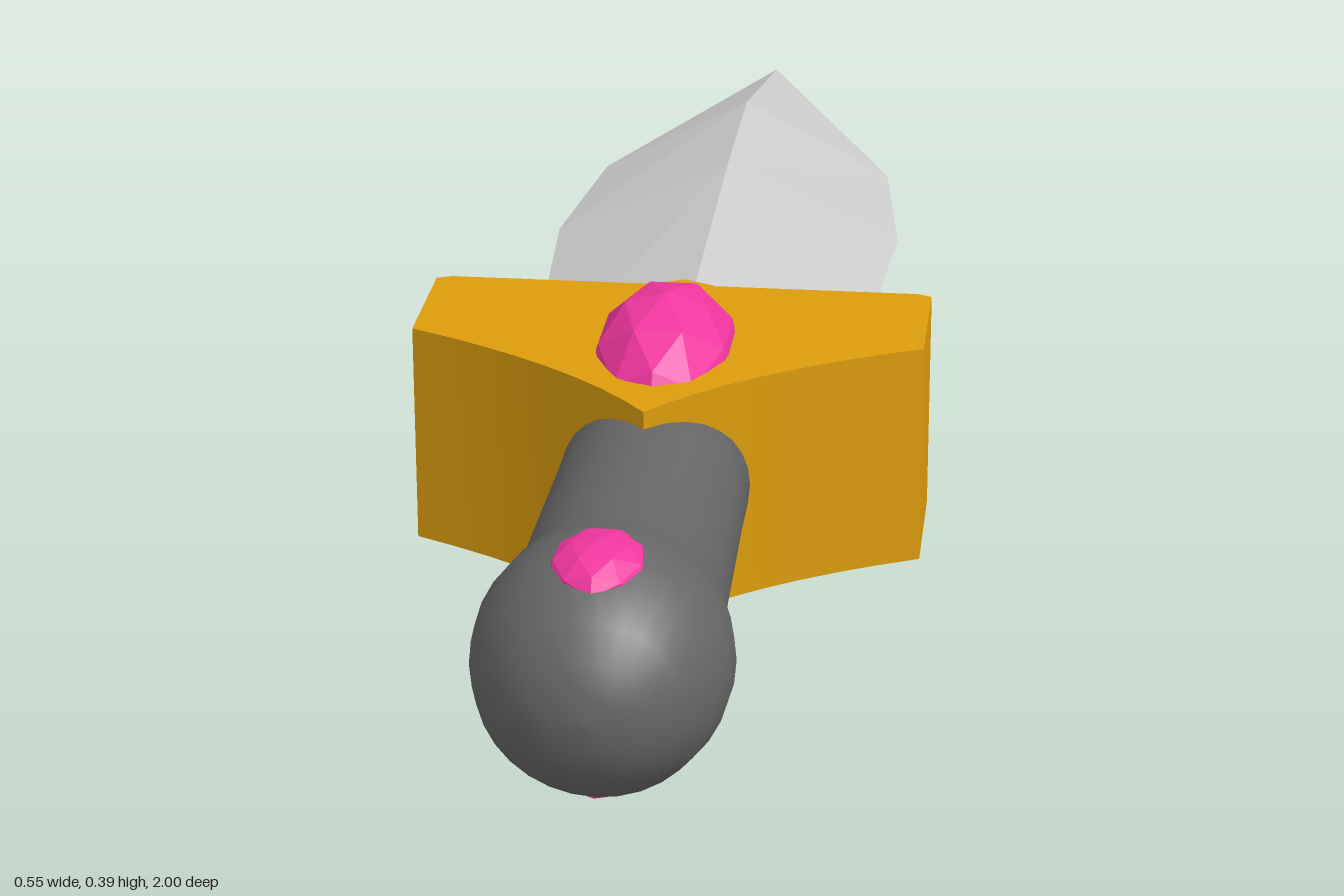
import * as THREE from 'three';
import { toCreasedNormals } from 'three/addons/utils/BufferGeometryUtils.js';

const AXIS_Y = 0.215; // height of the dagger's long axis
const steel = new THREE.MeshStandardMaterial({ color: 0xcccccc, flatShading: true });
const grip = new THREE.MeshStandardMaterial({ color: 0x666666 });
const gold = new THREE.MeshStandardMaterial({ color: 0xdb9c0c });
const pink = new THREE.MeshStandardMaterial({ color: 0xf0369f, flatShading: true });

function add(group, name, geometry, material) {
  const mesh = new THREE.Mesh(geometry, material);
  mesh.name = name;
  group.add(mesh);
  return mesh;
}

// Extrudes a plan outline (x, z) between two heights
function slab(shape, y0, y1) {
  const g = new THREE.ExtrudeGeometry(shape, { depth: y1 - y0, bevelEnabled: false, curveSegments: 8 });
  g.rotateX(Math.PI / 2).translate(0, y1, 0);
  return toCreasedNormals(g, 0.6);
}

const outline = (pts) => new THREE.Shape(pts.map(([x, z]) => new THREE.Vector2(x, z)));

// Diamond cross-sections [z, half width, half height] joined into a blade
function bladeGeometry(sections) {
  const pos = [], index = [];
  for (const [z, w, h] of sections) pos.push(w, 0, z, 0, h, z, -w, 0, z, 0, -h, z);
  for (let i = 0; i < sections.length - 1; i++) {
    for (let j = 0; j < 4; j++) {
      const a = i * 4 + j, b = i * 4 + (j + 1) % 4;
      index.push(a, a + 4, b, b, a + 4, b + 4);
    }
  }
  index.push(0, 1, 2, 0, 2, 3);
  const g = new THREE.BufferGeometry();
  g.setAttribute('position', new THREE.Float32BufferAttribute(pos, 3));
  g.setIndex(index);
  const flat = g.toNonIndexed();
  flat.computeVertexNormals();
  return flat;
}

export function createModel() {
  const dagger = new THREE.Group();
  dagger.name = 'dagger';

  // Blade, with its root narrowing into the guard
  const blade = bladeGeometry([
    [0.25, 0.165, 0.06], [0.17, 0.178, 0.07], [-0.33, 0.21, 0.095], [-0.57, 0.182, 0.095], [-1, 0.001, 0.001],
  ]);
  add(dagger, 'blade', blade, steel).position.y = AXIS_Y;

  // Handle and rounded pommel
  const profile = [
    [0, 0.3], [0.1, 0.3], [0.101, 0.5], [0.105, 0.7], [0.108, 0.77], [0.12, 0.8], [0.128, 0.845],
    [0.126, 0.88], [0.115, 0.92], [0.09, 0.96], [0.06, 0.985], [0.03, 0.997], [0, 1],
  ].map(([r, z]) => new THREE.Vector2(r, z));
  const handle = new THREE.LatheGeometry(profile, 32).rotateX(Math.PI / 2);
  add(dagger, 'handle', handle, grip).position.y = AXIS_Y;

  // Guard: solid body sweeping to a point over the handle
  const guard = new THREE.Group();
  guard.name = 'guard';
  dagger.add(guard);
  const low = 0.09, high = 0.336, floorZ = 0.235;
  const body = outline([[-0.276, floorZ], [0.276, floorZ], [0.276, 0.325]]);
  body.quadraticCurveTo(0.09, 0.41, 0, 0.53);
  body.quadraticCurveTo(-0.09, 0.41, -0.276, 0.325);
  add(guard, 'guardBody', slab(body, low, high), gold);

  // Raised rim around the recess on the blade side
  const rim = outline([[-0.276, floorZ], [-0.276, 0.17], [-0.26, 0.163], [0.26, 0.163], [0.276, 0.17], [0.276, floorZ]]);
  add(guard, 'rimTop', slab(rim, high - 0.035, high), gold);
  add(guard, 'rimBottom', slab(rim, low, low + 0.035), gold);
  for (const s of [-1, 1]) {
    const wall = outline([[s * 0.276, floorZ], [s * 0.276, 0.17], [s * 0.26, 0.163], [s * 0.225, 0.165], [s * 0.21, floorZ]]);
    add(guard, 'rimSide', slab(wall, low + 0.035, high - 0.035), gold);
  }
  const post = outline([[-0.04, floorZ], [-0.035, 0.162], [0, 0.145], [0.035, 0.162], [0.04, floorZ]]);
  add(guard, 'centrePost', slab(post, low, high), gold);

  // Faceted gems above and below the guard and the pommel
  const gem = (name, y, z, sx, sy, sz) => {
    const mesh = add(dagger, name, new THREE.IcosahedronGeometry(1, 1), pink);
    mesh.position.set(0, y, z);
    mesh.scale.set(sx, sy, sz);
  };
  gem('guardGemTop', 0.302, 0.33, 0.083, 0.09, 0.145);
  gem('guardGemBottom', 0.09, 0.33, 0.086, 0.09, 0.148);
  gem('pommelGemTop', 0.318, 0.87, 0.052, 0.031, 0.066);
  gem('pommelGemBottom', 0.118, 0.87, 0.052, 0.031, 0.066);

  return dagger;
}
